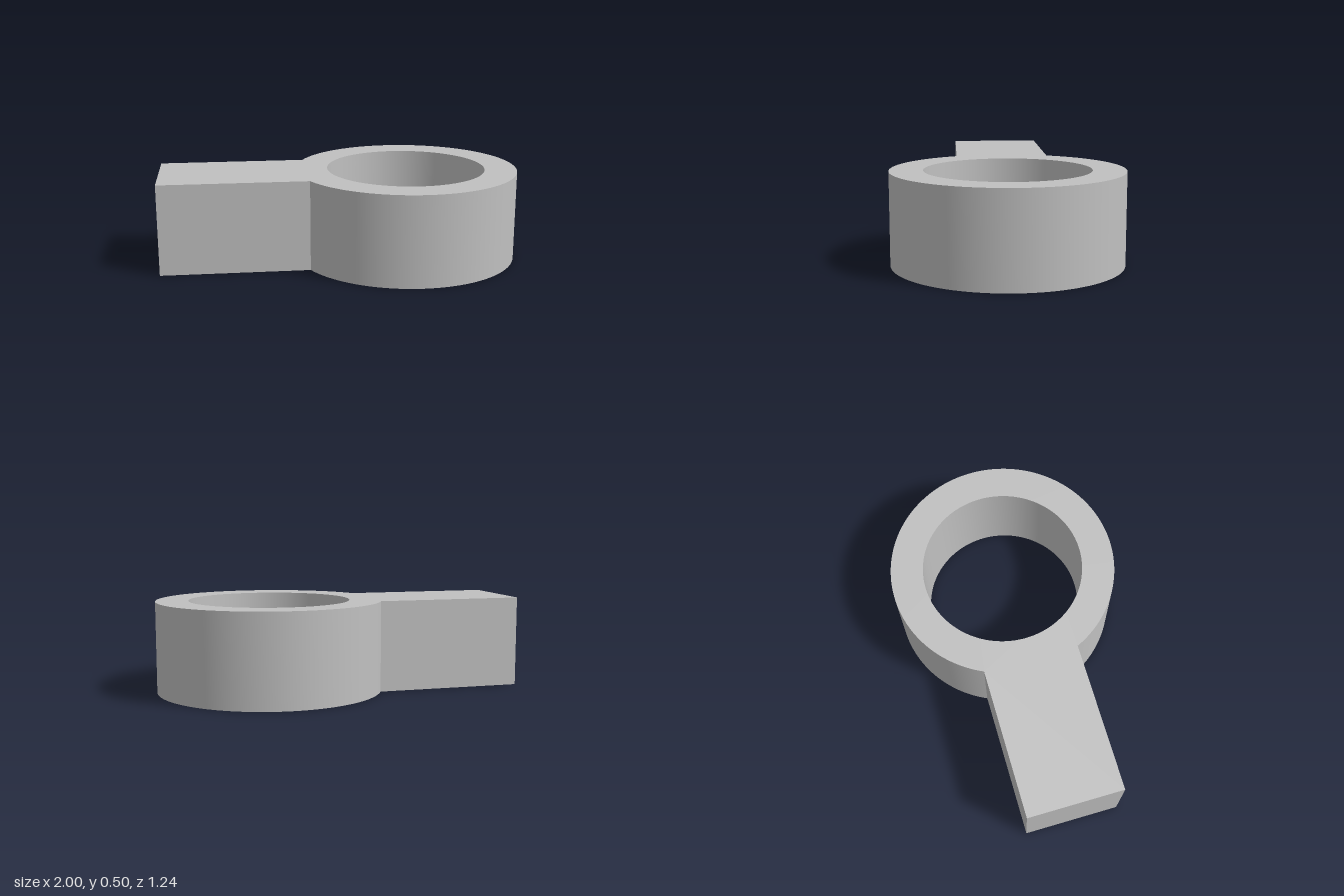
import * as THREE from 'three';
import { toCreasedNormals } from 'three/addons/utils/BufferGeometryUtils.js';

export function createModel() {
  const group = new THREE.Group();
  group.name = 'ringWithArm';

  const grey = new THREE.MeshStandardMaterial({ color: 0xc0c0c0 });
  grey.name = 'grey';

  const height = 0.5;
  const centreX = 0.378, outerRadius = 0.622, innerRadius = 0.443;
  const armHalfWidth = 0.262;
  const joinAngle = Math.asin(armHalfWidth / outerRadius);

  // Outline: square arm end, then around the ring from one arm side to the other
  const outline = new THREE.Shape();
  outline.moveTo(-1, armHalfWidth);
  outline.lineTo(-1, -armHalfWidth);
  outline.absarc(centreX, 0, outerRadius, Math.PI + joinAngle, 3 * Math.PI - joinAngle, false);
  outline.closePath();

  // Round through-hole
  const hole = new THREE.Path();
  hole.absarc(centreX, 0, innerRadius, 0, Math.PI * 2, true);
  outline.holes.push(hole);

  // Extrude upward, with smooth walls and sharp rims
  const extruded = new THREE.ExtrudeGeometry(outline, {
    depth: height, bevelEnabled: false, curveSegments: 96,
  });
  extruded.rotateX(-Math.PI / 2);
  const body = new THREE.Mesh(toCreasedNormals(extruded, Math.PI / 6), grey);
  body.name = 'ringAndArm';
  group.add(body);

  return group;
}
